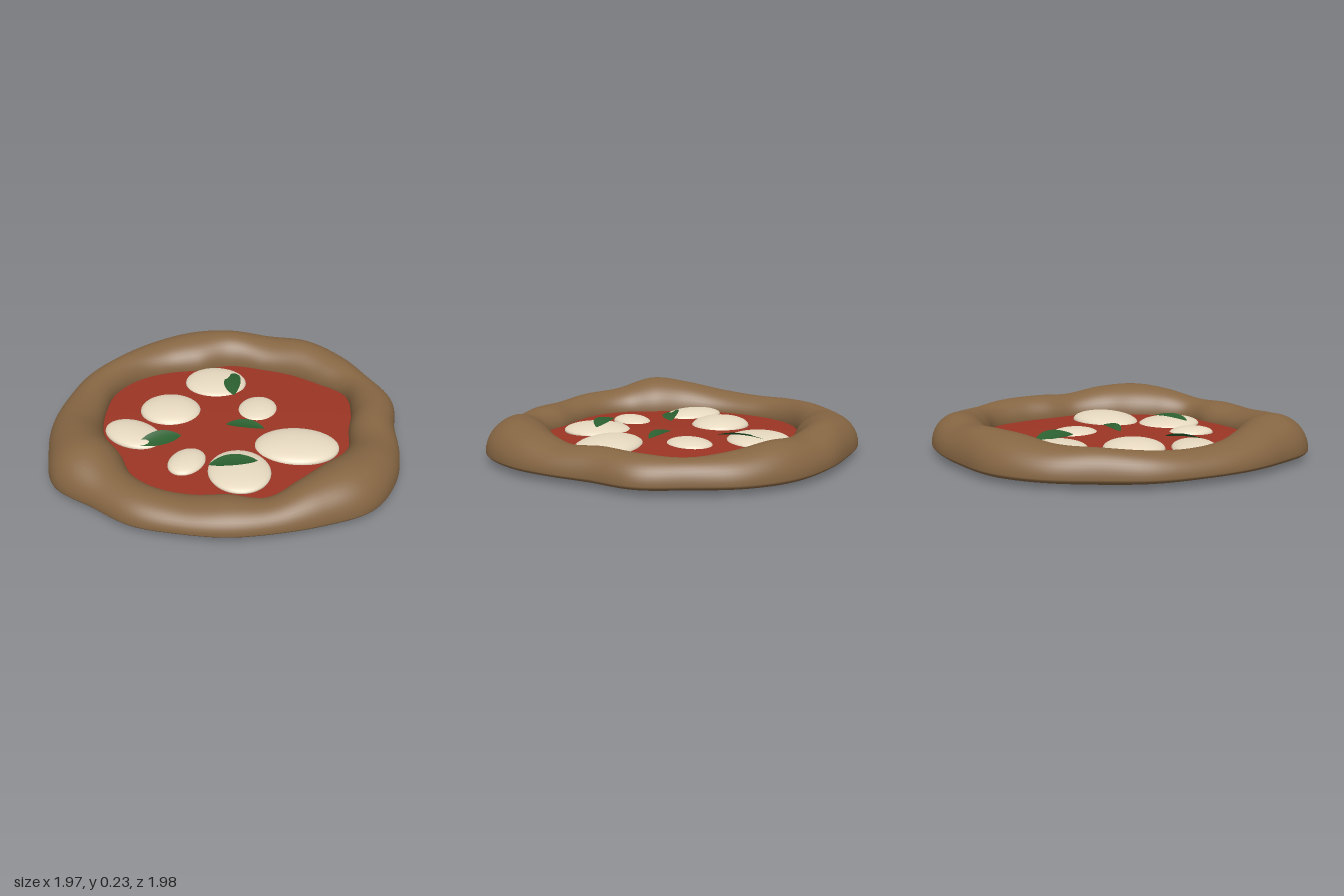
import * as THREE from 'three';

const material = (name, color, side = THREE.FrontSide) => {
  const m = new THREE.MeshStandardMaterial({ color, side });
  m.name = name;
  return m;
};

// Crust measurements every 15 degrees, from +x towards +z
const OUTER = [.985, .93, .9, .9, .907, .94, .95, 1.015, .98, .97, .967, .98,
  .975, 1.015, 1.025, .995, 1, 1.01, .995, .95, .955, .9, .925, .967];
const INNER = [.62, .64, .68, .63, .65, .68, .675, .635, .66, .69, .72, .765,
  .77, .73, .685, .72, .7, .71, .725, .765, .705, .65, .655, .645];
const HEIGHT = [.222, .2, .155, .16, .15, .165, .18, .235, .21, .17, .155, .165,
  .18, .185, .21, .215, .19, .205, .18, .165, .175, .18, .17, .205];

// Smooth periodic interpolation, t from 0 to 1
function sample(list, t) {
  const n = list.length, f = t * n, i = Math.floor(f), u = f - i;
  const [a, b, c, d] = [-1, 0, 1, 2].map(k => list[(i + k + n) % n]);
  return b + .5 * u * (c - a + u * (2 * a - 5 * b + 4 * c - d + u * (3 * (b - c) + d - a)));
}

// Puffy ring: domed above, shallow and rounded below
function crustGeometry(segs = 192, sides = 40) {
  const pos = [], idx = [], mid = .055;
  for (let i = 0; i < segs; i++) {
    const t = i / segs, a = t * Math.PI * 2;
    const ro = sample(OUTER, t), ri = sample(INNER, t), up = sample(HEIGHT, t) - mid;
    for (let j = 0; j < sides; j++) {
      const b = j / sides * Math.PI * 2, s = Math.sin(b);
      const r = (ro + ri) / 2 + (ro - ri) / 2 * Math.cos(b);
      const y = mid + s * (s > 0 ? up : .01 + up * .22);
      pos.push(r * Math.cos(a), y, r * Math.sin(a));
      const i2 = (i + 1) % segs, j2 = (j + 1) % sides;
      const p = i * sides + j, q = i * sides + j2, u = i2 * sides + j, v = i2 * sides + j2;
      idx.push(p, q, u, q, v, u);
    }
  }
  const g = new THREE.BufferGeometry();
  g.setAttribute('position', new THREE.Float32BufferAttribute(pos, 3));
  g.setIndex(idx);
  g.computeVertexNormals();
  return g;
}

// Pointed leaf along x, arched and slightly cupped
function leafGeometry(length, width) {
  const g = new THREE.PlaneGeometry(1, 1, 20, 6).rotateX(-Math.PI / 2);
  const p = g.attributes.position;
  for (let i = 0; i < p.count; i++) {
    const u = p.getX(i) * 2, v = p.getZ(i) * 2;
    const w = width / 2 * Math.pow(Math.max(0, 1 - u * u), .85);
    p.setXYZ(i, u * length / 2, .012 * (1 - u * u) + .008 * v * v * (1 - u * u), v * w);
  }
  g.computeVertexNormals();
  return g;
}

export function createModel() {
  const model = new THREE.Group();
  model.name = 'pizza';
  const dough = material('baked dough', 0x866643);
  const sauceRed = material('tomato sauce', 0x9c3524);
  const cream = material('mozzarella', 0xeadcc3);
  const green = material('basil', 0x2b6030, THREE.DoubleSide);
  const add = (name, geometry, mat, parent = model) => {
    const mesh = new THREE.Mesh(geometry, mat);
    mesh.name = name;
    parent.add(mesh);
    return mesh;
  };

  add('crust', crustGeometry(), dough);

  // Flat dough underneath
  add('base', new THREE.CylinderGeometry(.8, .8, .025, 96), dough).position.set(-.03, .0335, 0);

  // Shallow domed sauce layer, tucked under the crust
  const dome = [];
  for (let i = 0; i <= 16; i++) {
    const r = .8 * (1 - i / 16);
    dome.push(new THREE.Vector2(r, .078 - .028 * (r / .8) ** 2));
  }
  add('sauce', new THREE.LatheGeometry(dome, 96), sauceRed).position.x = -.03;

  // Cheese: x, z, half length, half width, half height, turn in degrees
  const cheese = new THREE.Group();
  cheese.name = 'cheeseSlices';
  model.add(cheese);
  const ball = new THREE.SphereGeometry(1, 48, 24);
  [
    [-.41, -.29, .178, .165, .04, 30],
    [-.03, -.25, .13, .108, .035, -60],
    [.375, -.13, .225, .165, .051, 42],
    [-.365, .105, .17, .157, .051, 30],
    [.32, .245, .185, .162, .04, -35],
    [-.325, .41, .175, .118, .04, 8],
    [.07, .38, .122, .093, .035, -70],
  ].forEach(([x, z, l, w, h, deg]) => {
    const m = add('cheeseSlice', ball, cream, cheese);
    m.position.set(x, .068, z);
    m.scale.set(l, h, w);
    m.rotation.y = THREE.MathUtils.degToRad(deg);
  });

  // Basil: x, y, z, length, width, turn in degrees, roll
  const basil = new THREE.Group();
  basil.name = 'basilLeaves';
  model.add(basil);
  [
    [-.29, .1, -.315, .25, .1, -42, .25],
    [.06, .085, -.06, .215, .085, 34, 0],
    [.28, .106, .25, .255, .1, 54, 0],
    [-.168, .083, .36, .245, .1, 68, .3],
  ].forEach(([x, y, z, l, w, deg, roll]) => {
    const m = add('basilLeaf', leafGeometry(l, w), green, basil);
    m.position.set(x, y, z);
    m.rotation.set(roll, THREE.MathUtils.degToRad(deg), 0, 'YXZ');
  });

  return model;
}
